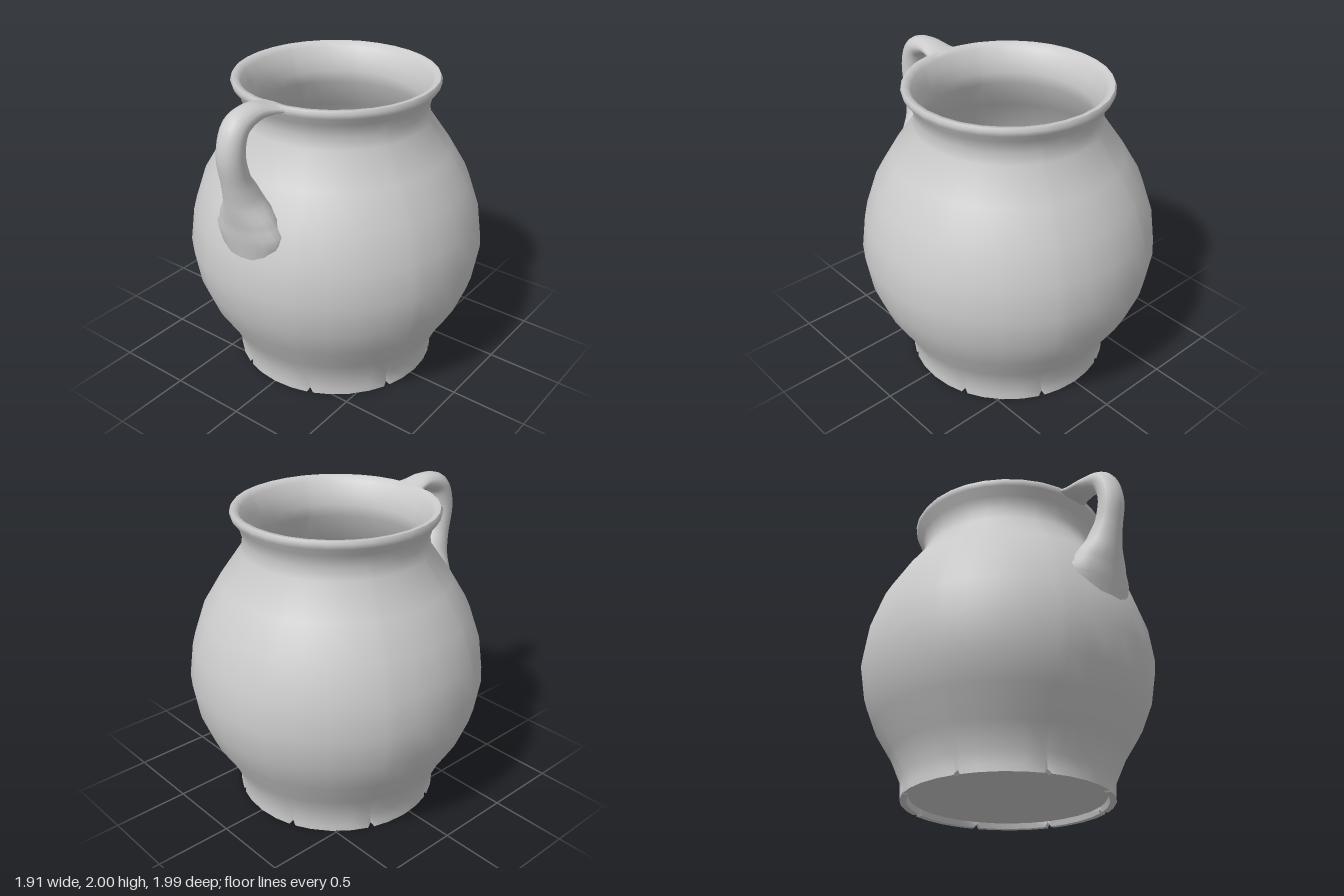
import * as THREE from 'three';
import { toCreasedNormals } from 'three/addons/utils/BufferGeometryUtils.js';

const material = new THREE.MeshStandardMaterial({ color: 0xcccccc });

// Wall profile [radius, height]: underside, foot, belly, neck, rolled rim, then down the inside
const PROFILE = [
  [0, 0.035], [0.615, 0.035], [0.625, 0], [0.665, 0], [0.665, 0.04], [0.67, 0.12],
  [0.74, 0.28], [0.85, 0.46], [0.92, 0.64], [0.955, 0.86], [0.925, 1.08], [0.85, 1.3],
  [0.73, 1.5], [0.59, 1.7], [0.578, 1.78], [0.6, 1.86], [0.64, 1.91], [0.648, 1.94],
  [0.637, 1.96], [0.61, 1.958], [0.585, 1.93], [0.55, 1.86], [0.528, 1.78], [0.535, 1.7],
  [0.68, 1.48], [0.8, 1.28], [0.875, 1.07], [0.9, 0.86], [0.87, 0.65], [0.8, 0.47],
  [0.69, 0.29], [0.6, 0.13], [0.5, 0.09], [0, 0.08],
];

// Column angles in each eighth of the turn: a narrow notch sits at 22.5 degrees
const COLUMNS = [0, 11.25, 20.7, 22.5, 24.3, 33.75];

function potGeometry() {
  const points = PROFILE.map(([r, y]) => new THREE.Vector2(r, y));
  const geometry = new THREE.LatheGeometry(points, 48);
  const pos = geometry.attributes.position;
  for (let i = 0; i <= 48; i++) {
    const angle = THREE.MathUtils.degToRad(Math.floor(i / 6) * 45 + COLUMNS[i % 6]);
    const notch = i % 6 === 3;
    PROFILE.forEach(([r, y], j) => {
      const lift = notch && y === 0 ? 0.03 : 0;
      const pinch = notch && j > 1 && j < 5 ? 0.012 : 0;
      pos.setXYZ(i * PROFILE.length + j,
        (r - pinch) * Math.sin(angle), y + lift, (r - pinch) * Math.cos(angle));
    });
  }
  return toCreasedNormals(geometry, 0.9);
}

// Handle stations: [height, depth, half width, half thickness]
const STATIONS = [
  [1.93, 0.55, 0.15, 0.025], [1.94, 0.62, 0.105, 0.032], [1.947, 0.73, 0.085, 0.052],
  [1.9, 0.86, 0.085, 0.073], [1.76, 0.91, 0.085, 0.08], [1.6, 0.885, 0.088, 0.085],
  [1.46, 0.835, 0.12, 0.11], [1.3, 0.79, 0.21, 0.122], [1.06, 0.75, 0.21, 0.122],
];

// Sweep an ellipse of changing size along the handle path
function handleGeometry(steps = 40, sides = 16) {
  const path = new THREE.CatmullRomCurve3(STATIONS.map(([y, z]) => new THREE.Vector3(0, y, z)));
  const size = new THREE.CatmullRomCurve3(STATIONS.map(([, , w, t]) => new THREE.Vector3(w, t, 0)));
  const vertices = [], index = [];
  for (let i = 0; i <= steps; i++) {
    const c = path.getPoint(i / steps), s = size.getPoint(i / steps), d = path.getTangent(i / steps);
    for (let j = 0; j < sides; j++) {
      const a = (j / sides) * Math.PI * 2;
      const k = Math.sin(a) * s.y;
      vertices.push(Math.cos(a) * s.x, c.y + k * d.z, c.z - k * d.y);
      if (i === steps) continue;
      const p = i * sides + j, q = i * sides + (j + 1) % sides;
      index.push(p, q, p + sides, q, q + sides, p + sides);
    }
  }
  const geometry = new THREE.BufferGeometry();
  geometry.setAttribute('position', new THREE.Float32BufferAttribute(vertices, 3));
  geometry.setIndex(index);
  geometry.computeVertexNormals();
  return geometry;
}

export function createModel() {
  const group = new THREE.Group();
  group.name = 'jug';

  const pot = new THREE.Mesh(potGeometry(), material);
  pot.name = 'pot';
  pot.position.z = -0.045;

  const handle = new THREE.Mesh(handleGeometry(), material);
  handle.name = 'handle';

  group.add(pot, handle);
  return group;
}
